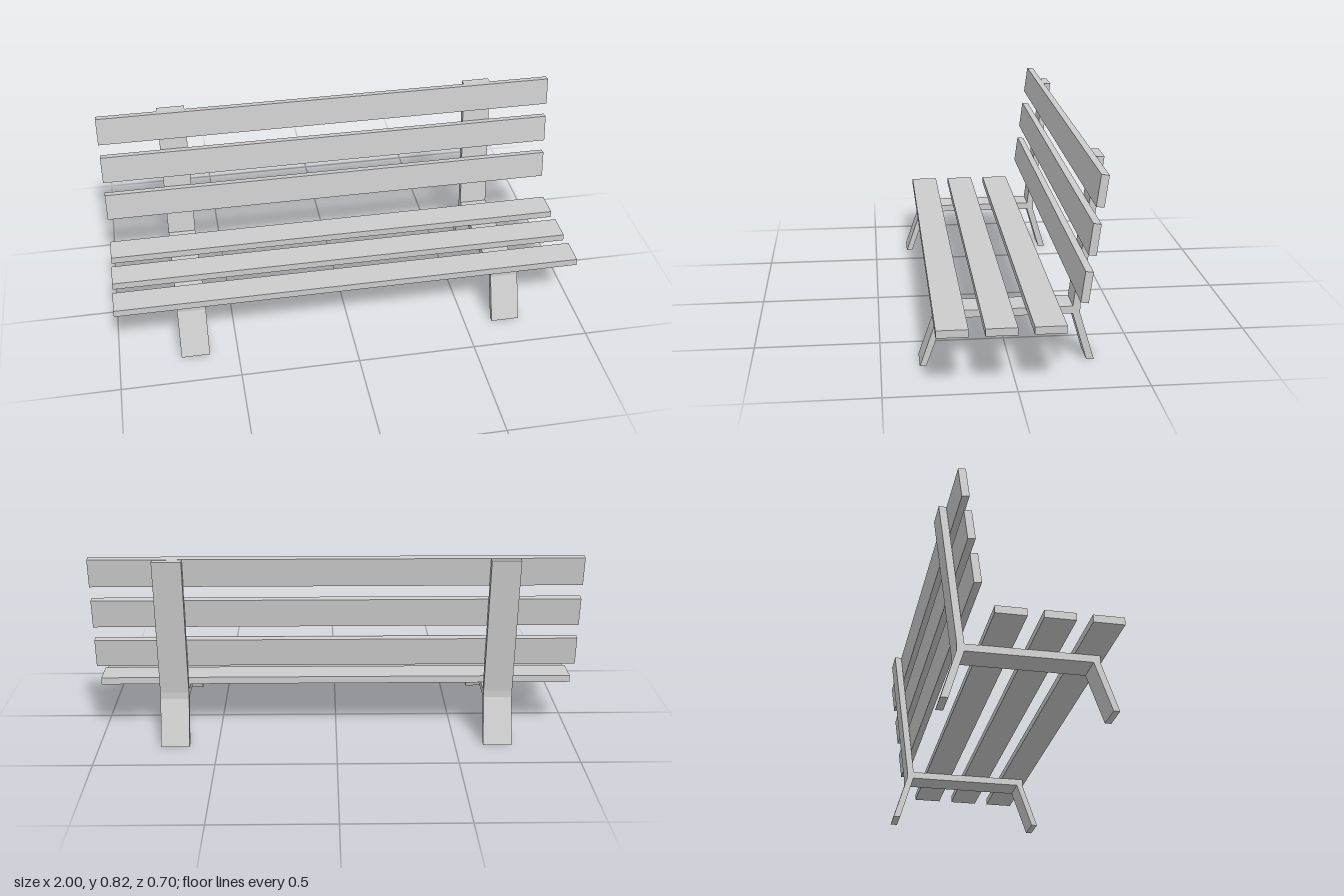
import * as THREE from 'three';

const SLAT_LENGTH = 2;
const SLAT_WIDTH = 0.12;
const THICKNESS = 0.03;
const BACK_TILT = -0.131;

export function createModel() {
  const bench = new THREE.Group();
  bench.name = 'bench';
  const material = new THREE.MeshStandardMaterial({ color: 0xcccccc, flatShading: true });

  // Side frame: legs, seat rail and leaning back post in one outline, as [z, y]
  const outline = [
    [0.35, 0], [0.282, 0.195], [0.282, 0.225], [-0.243, 0.225], [-0.32, 0.818],
    [-0.35, 0.818], [-0.272, 0.225], [-0.272, 0.195], [-0.33, 0], [-0.3, 0],
    [-0.243, 0.195], [0.255, 0.195], [0.325, 0],
  ];
  const shape = new THREE.Shape(outline.map(([z, y]) => new THREE.Vector2(z, y)));
  const frameGeometry = new THREE.ExtrudeGeometry(shape, { depth: 0.12, bevelEnabled: false });
  frameGeometry.translate(0, 0, -0.06).rotateY(-Math.PI / 2);
  for (const [name, x] of [['leftFrame', 0.68], ['rightFrame', -0.68]]) {
    const frame = new THREE.Mesh(frameGeometry, material);
    frame.name = name;
    frame.position.x = x;
    bench.add(frame);
  }

  // Seat slats lying on the rails
  const seatGeometry = new THREE.BoxGeometry(SLAT_LENGTH, THICKNESS, SLAT_WIDTH);
  [0.242, 0.061, -0.12].forEach((z, i) => {
    const slat = new THREE.Mesh(seatGeometry, material);
    slat.name = `seatSlat${i + 1}`;
    slat.position.set(0, 0.24, z);
    bench.add(slat);
  });

  // Back slats leaning with the posts
  const backGeometry = new THREE.BoxGeometry(SLAT_LENGTH, SLAT_WIDTH, THICKNESS);
  for (let i = 0; i < 3; i++) {
    const slat = new THREE.Mesh(backGeometry, material);
    slat.name = `backSlat${i + 1}`;
    slat.position.set(0, 0.401 + i * 0.1805, -0.2485 - i * 0.0238);
    slat.rotation.x = BACK_TILT;
    bench.add(slat);
  }

  return bench;
}
